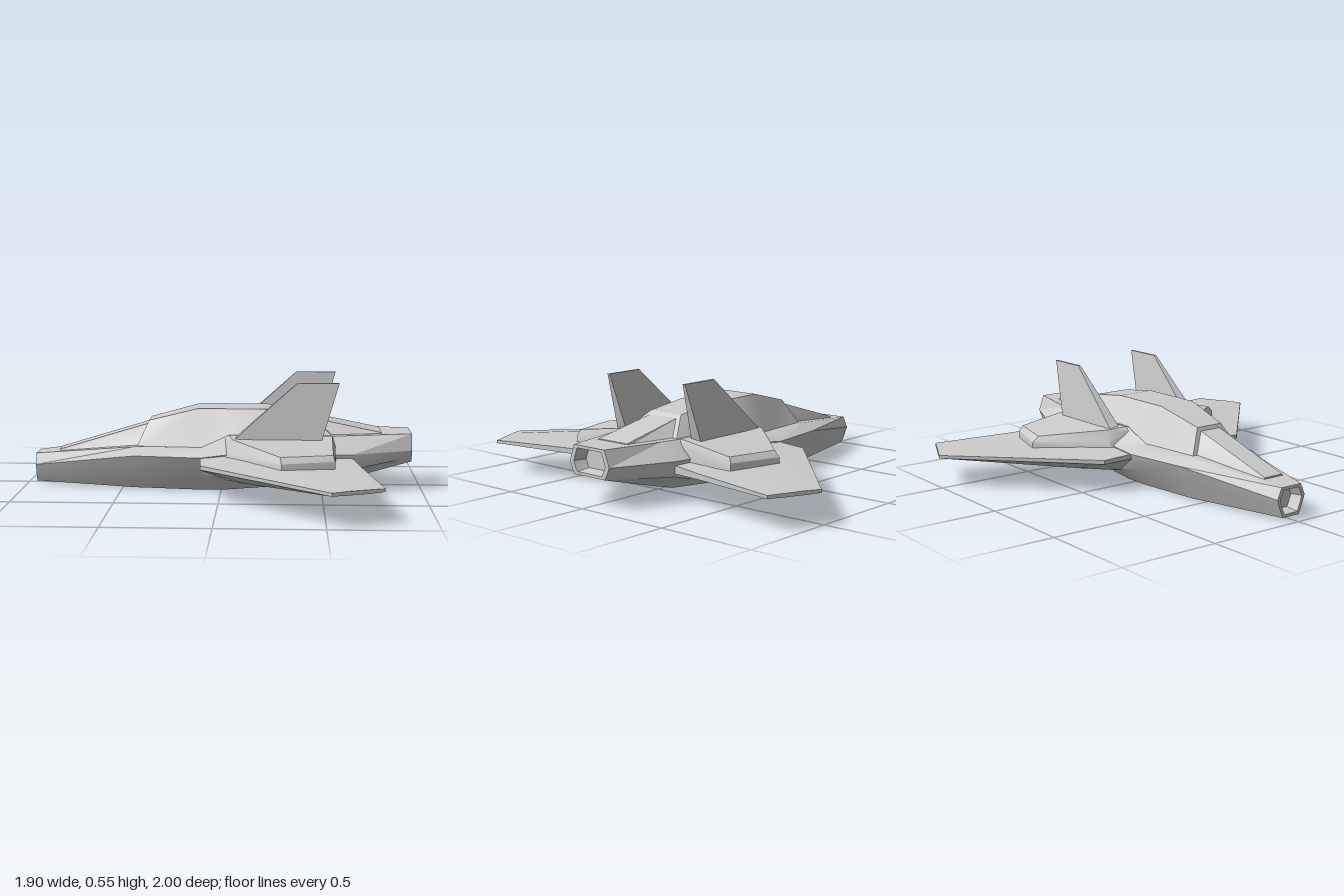
import * as THREE from 'three';
import { toCreasedNormals } from 'three/addons/utils/BufferGeometryUtils.js';

const material = new THREE.MeshStandardMaterial({ color: 0xcccccc });

// Skin a list of equal-length point rings, cap both ends, and face it outward.
function loft(name, rings) {
  const tris = [];
  const n = rings[0].length;
  for (let i = 0; i < rings.length - 1; i++) {
    for (let j = 0; j < n; j++) {
      const k = (j + 1) % n;
      const a = rings[i][j], b = rings[i][k], c = rings[i + 1][k], d = rings[i + 1][j];
      tris.push([a, b, c], [a, c, d]);
    }
  }
  const cap = (ring, flip) => {
    const mid = [0, 1, 2].map((q) => ring.reduce((s, p) => s + p[q], 0) / n);
    ring.forEach((p, j) => {
      const next = ring[(j + 1) % n];
      tris.push(flip ? [mid, next, p] : [mid, p, next]);
    });
  };
  cap(rings[0], true);
  cap(rings[rings.length - 1], false);

  // A negative enclosed volume means the winding is inside out.
  const vec = (p) => new THREE.Vector3(...p);
  const volume = tris.reduce((s, [a, b, c]) => s + vec(a).dot(vec(b).cross(vec(c))), 0);
  if (volume < 0) tris.forEach((t) => t.reverse());

  const geometry = new THREE.BufferGeometry();
  geometry.setAttribute('position', new THREE.Float32BufferAttribute(tris.flat(2), 3));
  const mesh = new THREE.Mesh(toCreasedNormals(geometry, 0.4), material);
  mesh.name = name;
  return mesh;
}

// Complete a half section of [x, y, z] points across the centre plane.
const mirrorRing = (half) => [...half, ...half.map(([x, y, z]) => [x, y, -z]).reverse()];

// Sunken end: shrink a ring around its middle and move it along x.
function insetRing(ring, scale, dx) {
  const ys = ring.map((p) => p[1]);
  const mid = (Math.min(...ys) + Math.max(...ys)) / 2;
  return ring.map(([x, y, z]) => [x + dx, mid + (y - mid) * scale, z * scale]);
}

function createFuselage() {
  // x, then [z, y] of bottom edge, lower chine, upper chine and shoulder
  const stations = [
    [-0.95, [0.05, 0.015], [0.07, 0.06], [0.085, 0.105], [0.06, 0.16]],
    [-0.43, [0.15, 0.005], [0.195, 0.09], [0.235, 0.18], [0.165, 0.215]],
    [-0.1, [0.17, 0], [0.24, 0.09], [0.28, 0.18], [0.18, 0.215]],
    [0.04, [0.18, 0.005], [0.26, 0.08], [0.29, 0.2], [0.19, 0.28]],
    [0.55, [0.15, 0.04], [0.25, 0.1], [0.275, 0.2], [0.19, 0.28]],
    [0.65, [0.14, 0.063], [0.25, 0.125], [0.262, 0.2], [0.17, 0.28]],
    [0.95, [0.1, 0.14], [0.115, 0.165], [0.13, 0.2], [0.1, 0.28]],
  ];
  const rings = stations.map(([x, ...pts]) => mirrorRing(pts.map(([z, y]) => [x, y, z])));
  const nose = rings[0], tail = rings[rings.length - 1];
  return loft('fuselage', [
    insetRing(nose, 0.65, 0.06), insetRing(nose, 0.8, 0), ...rings,
    insetRing(tail, 0.8, 0), insetRing(tail, 0.65, -0.06),
  ]);
}

function createWing(side) {
  const root = [[-0.1, 0.18], [0.1, 0.205], [0.65, 0.18], [0.65, 0.14], [0.5, 0.095], [0.03, 0.065], [-0.1, 0.155]]
    .map(([x, y]) => [x, y, 0.25 * side]);
  const middle = [[-0.09, 0.17], [0.14, 0.19], [0.68, 0.172], [0.68, 0.145], [0.53, 0.11], [0.13, 0.085], [-0.09, 0.15]]
    .map(([x, y]) => [x, y, 0.43 * side]);
  // The tip is cut obliquely from the outermost point to the rear corner.
  const tip = [[0, 0.163], [0.3, 0.165], [1, 0.163], [1, 0.148], [0.7, 0.146], [0.3, 0.146], [0, 0.148]]
    .map(([t, y]) => [0.52 + 0.24 * t, y, (1 - 0.11 * t) * side]);
  return loft('wing', [root, middle, tip]);
}

function createNacelle(side) {
  const base = [[0.0, 0.17, 0.2], [0.02, 0.17, 0.3], [0.3, 0.17, 0.595], [0.555, 0.17, 0.51], [0.57, 0.17, 0.2]];
  const rim = [[0.02, 0.265, 0.2], [0.04, 0.215, 0.305], [0.3, 0.21, 0.59], [0.553, 0.21, 0.51], [0.565, 0.24, 0.2]];
  const top = [[0.04, 0.283, 0.2], [0.06, 0.275, 0.29], [0.295, 0.238, 0.56], [0.545, 0.238, 0.495], [0.55, 0.283, 0.2]];
  return loft('engineNacelle', [base, rim, top].map((r) => r.map(([x, y, z]) => [x, y, z * side])));
}

function createFin(side) {
  const ring = (front, back, y, half) =>
    [[front, -half], [front, half], [back, half], [back, -half]]
      .map(([x, dz]) => [x, y, (0.248 + dz) * side]);
  return loft('tailFin', [ring(0.06, 0.495, 0.265, 0.03), ring(0.375, 0.58, 0.55, 0.007)]);
}

export function createModel() {
  const model = new THREE.Group();
  model.name = 'spacecraft';
  model.add(createFuselage());

  // Raised cabin with slanted ends
  const cabin = [
    [[-0.43, 0.2, 0.155], [-0.37, 0.335, 0.075]],
    [[-0.12, 0.2, 0.18], [-0.12, 0.4, 0.1]],
    [[0.04, 0.27, 0.19], [0.04, 0.4, 0.1]],
    [[0.22, 0.27, 0.19], [0.22, 0.4, 0.1]],
    [[0.56, 0.27, 0.178], [0.44, 0.37, 0.1]],
  ];
  model.add(loft('cabin', cabin.map(mirrorRing)));

  // Sloping windows set just inside the cabin frame
  const windscreen = [
    [[-0.83, 0.165, 0.06], [-0.83, 0.18, 0.055]],
    [[-0.41, 0.2, 0.135], [-0.35, 0.325, 0.06]],
  ];
  const rearWindow = [
    [[0.54, 0.27, 0.158], [0.42, 0.362, 0.085]],
    [[0.8, 0.27, 0.1], [0.8, 0.284, 0.095]],
  ];
  model.add(loft('windscreen', windscreen.map(mirrorRing)));
  model.add(loft('rearWindow', rearWindow.map(mirrorRing)));

  for (const side of [1, -1]) {
    model.add(createWing(side), createNacelle(side), createFin(side));
  }
  return model;
}
